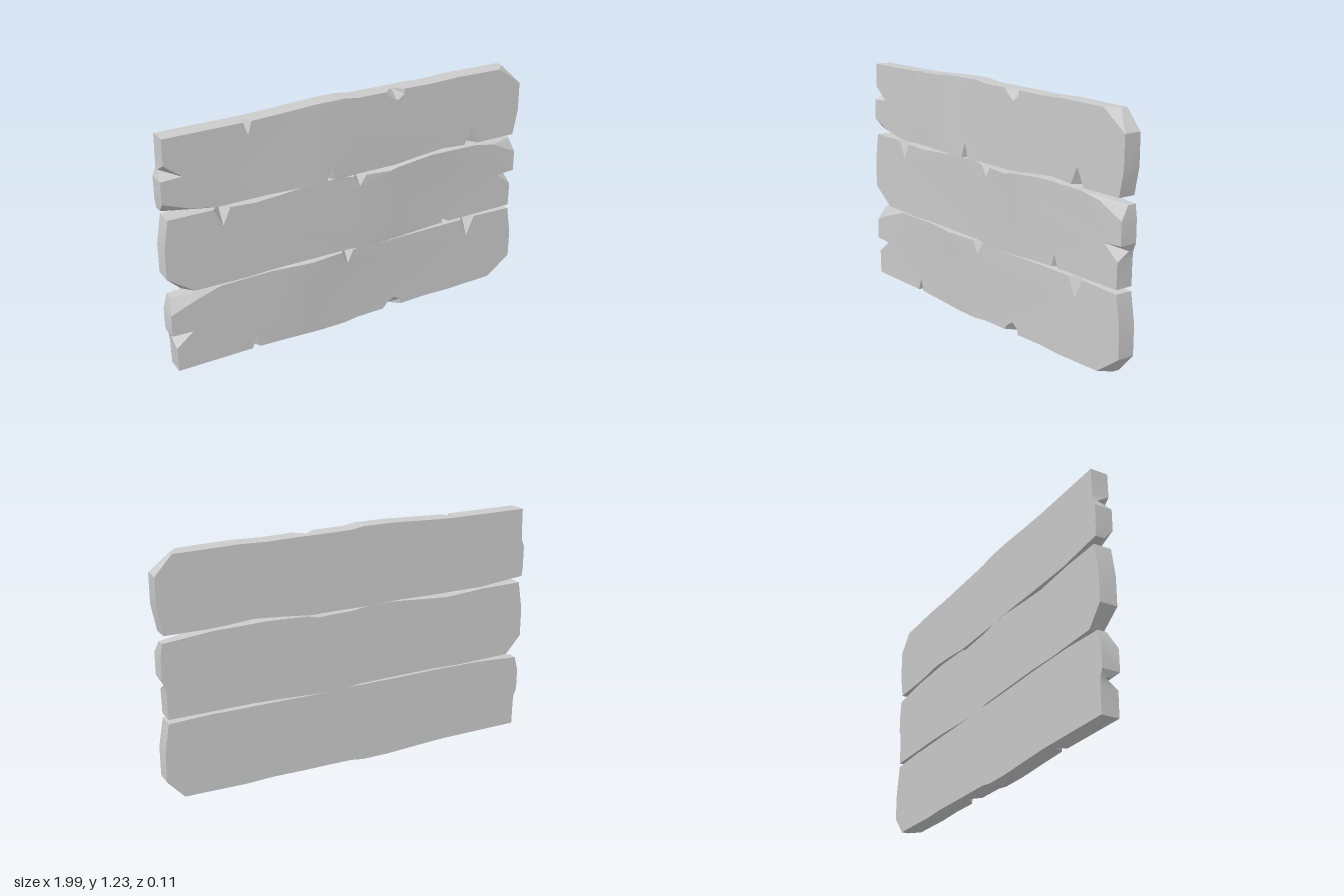
import * as THREE from 'three';
import { toCreasedNormals } from 'three/addons/utils/BufferGeometryUtils.js';

const BACK = -0.055, FRONT = 0.035, BULGE = 0.022;
const CUTS = [-2, -0.46, -0.25, 0, 2];

// Front face swells towards the inner edge, around x = -0.25
function frontZ(x, y) {
  const tent = x < -0.25 ? (x + 0.46) / 0.21 : -x / 0.25;
  return FRONT + BULGE * Math.max(0, tent) * THREE.MathUtils.clamp(y / 0.41, 0, 1);
}

// Outline points are [x, y]; a chip is [x, y, depth, front points around the chip]
const chip = (x, y, z, ...tips) => [x, y, z, tips];

// Outer edge and both ends, shared by all planks; inner edge is given left to right
function outline(inner, knot) {
  return [
    [-0.97, 0.015], [-0.578, 0.015], chip(-0.565, 0.015, -0.02, [-0.555, 0.08]), [-0.535, 0.015],
    [-0.4, 0.01], [-0.2, 0], [-0.05, 0], [0.02, 0.01],
    ...(knot ? [[0.18, 0.012],
      chip(0.235, 0.012, -0.012, [0.2, 0.035], [0.245, 0.065], [0.285, 0.04]), [0.288, 0.012]] : []),
    [0.45, 0.015], [0.6, 0.01], [0.86, 0.015],
    chip(0.91, 0.015, -0.02), [0.995, 0.11], [0.995, 0.26],
    ...inner.slice().reverse(),
    [-0.99, 0.325], [-0.99, 0.215], chip(-0.975, 0.18, -0.03, [-0.885, 0.21]), [-0.972, 0.14],
  ];
}

// Keep the part of a polygon on one side of x = c
function clip(poly, c, side) {
  const out = [];
  poly.forEach((p, i) => {
    const q = poly[(i + 1) % poly.length];
    const dp = (p[0] - c) * side, dq = (q[0] - c) * side;
    if (dp >= 0) out.push(p);
    if (dp * dq < 0) {
      const t = dp / (dp - dq);
      out.push([c, p[1] + (q[1] - p[1]) * t]);
    }
  });
  return out;
}

function plankGeometry(pts, sx, sy, y0) {
  const pos = [];
  const tri = (a, b, c) => {
    const order = sx * sy < 0 ? [a, c, b] : [a, b, c];
    for (const p of order) pos.push(p[0] * sx, y0 + p[1] * sy, p[2]);
  };
  const at = (p, z) => [p[0], p[1], z];
  const top = (p) => at(p, p.length > 2 ? p[2] : frontZ(p[0], p[1]));
  const surf = (p) => at(p, frontZ(p[0], p[1]));
  const faces = (poly) => THREE.ShapeUtils.triangulateShape(
    poly.map((p) => new THREE.Vector2(p[0], p[1])), []).map((f) => f.map((i) => poly[i]));
  const n = pts.length;

  // Edge walls and the sloped chip faces
  pts.forEach((p, i) => {
    const q = pts[(i + 1) % n];
    tri(at(p, BACK), at(q, BACK), top(q));
    tri(at(p, BACK), top(q), top(p));
    if (p.length > 2) {
      const rim = [pts[(i + n - 1) % n], ...p[3], q];
      for (let k = 0; k + 1 < rim.length; k++) tri(top(p), surf(rim[k + 1]), surf(rim[k]));
    }
  });

  // Flat back
  for (const [a, b, c] of faces(pts)) tri(at(a, BACK), at(c, BACK), at(b, BACK));

  // Swollen front, split at the ridge lines
  const front = pts.flatMap((p) => (p.length > 2 ? p[3] : [p]));
  for (const f of faces(front)) {
    for (let s = 0; s < CUTS.length - 1; s++) {
      const piece = clip(clip(f, CUTS[s], 1), CUTS[s + 1], -1);
      for (let k = 1; k + 1 < piece.length; k++) tri(surf(piece[0]), surf(piece[k]), surf(piece[k + 1]));
    }
  }

  const geo = new THREE.BufferGeometry();
  geo.setAttribute('position', new THREE.Float32BufferAttribute(pos, 3));
  return toCreasedNormals(geo, 0.35);
}

export function createModel() {
  const group = new THREE.Group();
  group.name = 'plankPanel';
  const material = new THREE.MeshStandardMaterial({ color: 0xcccccc });

  const lowerInner = [
    chip(-0.97, 0.4, -0.01, [-0.86, 0.375]), [-0.73, 0.415], [-0.46, 0.418], [-0.25, 0.415],
    [-0.07, 0.415], chip(-0.035, 0.415, -0.005, [-0.035, 0.345]), [0, 0.415],
    [0.2, 0.41], [0.45, 0.412], [0.66, 0.412], chip(0.7, 0.412, -0.02, [0.7, 0.31]),
    [0.745, 0.414], [0.97, 0.405],
  ];
  const middleInner = [
    chip(-0.98, 0.39, -0.01, [-0.85, 0.392]), [-0.73, 0.413], [-0.46, 0.418], [-0.25, 0.408],
    [-0.2, 0.395], [-0.07, 0.4], chip(-0.035, 0.4, -0.005, [-0.035, 0.345]), [0, 0.402],
    [0.05, 0.41], [0.2, 0.416], [0.4, 0.4], [0.53, 0.392], [0.66, 0.4],
    chip(0.7, 0.402, -0.02, [0.7, 0.315]), [0.745, 0.406], [0.97, 0.408],
  ];
  const upperInner = [
    chip(-0.985, 0.375, -0.01, [-0.86, 0.373]), [-0.73, 0.399], [-0.46, 0.4], [-0.25, 0.397],
    [-0.155, 0.4], chip(-0.13, 0.402, -0.005, [-0.13, 0.325]), [-0.105, 0.404], [0, 0.403],
    [0.24, 0.403], [0.38, 0.388], [0.53, 0.376], [0.66, 0.386],
    chip(0.7, 0.388, -0.02, [0.7, 0.3]), [0.745, 0.39], [0.97, 0.39],
  ];

  // Middle plank is turned end for end, upper plank is upside down
  const planks = [
    ['lowerPlank', lowerInner, true, 1, 1, 0],
    ['middlePlank', middleInner, false, -1, 1, 0.412],
    ['upperPlank', upperInner, true, 1, -1, 1.228],
  ];
  for (const [name, inner, knot, sx, sy, y0] of planks) {
    const mesh = new THREE.Mesh(plankGeometry(outline(inner, knot), sx, sy, y0), material);
    mesh.name = name;
    group.add(mesh);
  }
  return group;
}
